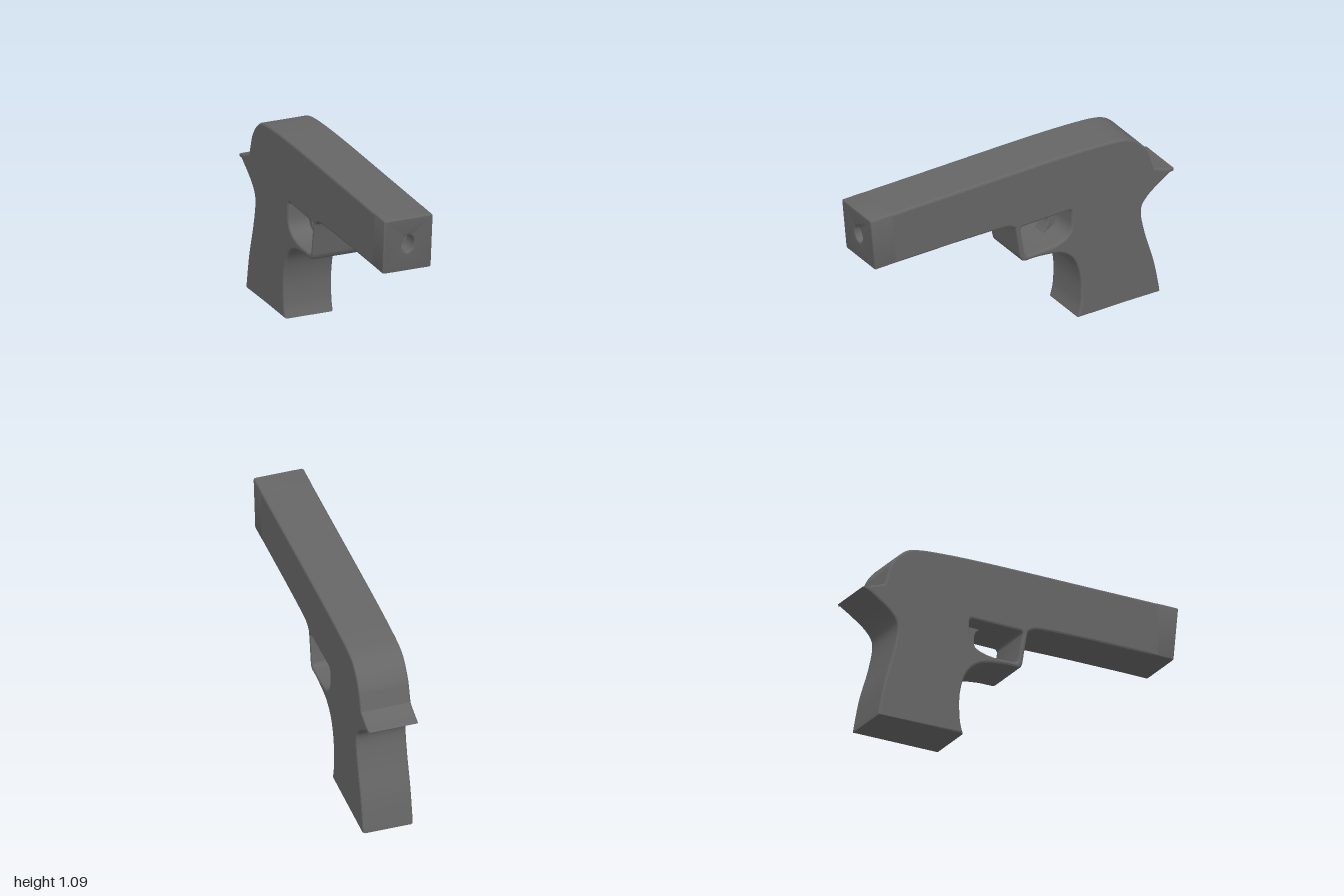
import * as THREE from 'three';
import { toCreasedNormals } from 'three/addons/utils/BufferGeometryUtils.js';

const WIDTH = 0.29;      // overall thickness along x
const TOP = 1.095, BOTTOM = 0.773; // barrel block

const vecs = (pts) => pts.map(([z, y]) => new THREE.Vector2(z, y));

// Extrude a side profile (z, y) across x, with softened edges
function extrudeSide(shape, width, bevel) {
  const g = new THREE.ExtrudeGeometry(shape, {
    depth: width - 2 * bevel, curveSegments: 6,
    bevelEnabled: true, bevelThickness: bevel, bevelSize: bevel,
    bevelOffset: -bevel, bevelSegments: 2,
  });
  g.translate(0, 0, -(width - 2 * bevel) / 2);
  g.rotateY(-Math.PI / 2);
  return g;
}

// Lean the muzzle: the top edge reaches further forward than the bottom
function slant(g) {
  const p = g.attributes.position;
  for (let i = 0; i < p.count; i++) {
    const lean = (p.getY(i) - BOTTOM) / (TOP - BOTTOM) * 0.03;
    p.setZ(i, p.getZ(i) + lean);
  }
  return g;
}

export function createModel() {
  const group = new THREE.Group();
  const material = new THREE.MeshStandardMaterial({ color: 0x666666 });
  const add = (name, geometry) => {
    const mesh = new THREE.Mesh(toCreasedNormals(geometry, 0.38), material);
    mesh.name = name;
    group.add(mesh);
  };

  // Frame: barrel, rear tang, grip and guard in one outline
  const frame = new THREE.Shape();
  frame.moveTo(0.88, 1.094);
  frame.lineTo(0.4, 1.09);
  frame.splineThru(vecs([[-0.18, 1.085], [-0.5, 1.074], [-0.68, 1.054], [-0.76, 1.01],
    [-0.82, 0.936], [-0.845, 0.87], [-0.865, 0.805]]));
  frame.splineThru(vecs([[-0.91, 0.787], [-1, 0.757]]));
  frame.splineThru(vecs([[-0.91, 0.703], [-0.82, 0.635], [-0.782, 0.56], [-0.808, 0.41],
    [-0.865, 0.215], [-0.898, 0.05], [-0.904, 0.005]]));
  frame.lineTo(-0.366, 0.014);
  frame.splineThru(vecs([[-0.385, 0.1], [-0.385, 0.25], [-0.345, 0.385], [-0.26, 0.463],
    [-0.125, 0.491], [-0.02, 0.495]]));
  frame.quadraticCurveTo(0.005, 0.497, 0.013, 0.53);
  frame.splineThru(vecs([[0.04, 0.695], [0.06, 0.735], [0.14, 0.757], [0.46, 0.768]]));
  frame.lineTo(0.88, 0.773);

  // Opening inside the trigger guard
  const opening = new THREE.Path();
  opening.moveTo(-0.01, 0.722);
  opening.quadraticCurveTo(0.012, 0.722, 0.01, 0.7);
  opening.lineTo(-0.014, 0.55);
  opening.quadraticCurveTo(-0.018, 0.525, -0.045, 0.524);
  opening.lineTo(-0.17, 0.523);
  opening.bezierCurveTo(-0.27, 0.53, -0.325, 0.56, -0.325, 0.63);
  opening.lineTo(-0.325, 0.7);
  opening.quadraticCurveTo(-0.325, 0.722, -0.305, 0.722);
  opening.closePath();
  frame.holes.push(opening);
  add('frame', extrudeSide(frame, WIDTH, 0.012));

  // Muzzle block: rounded section along z with an oval bore, floored by the frame
  const h = WIDTH / 2, r = 0.014;
  const section = new THREE.Shape();
  section.moveTo(-h + r, BOTTOM);
  section.lineTo(h - r, BOTTOM);
  section.quadraticCurveTo(h, BOTTOM, h, BOTTOM + r);
  section.lineTo(h, TOP - r);
  section.quadraticCurveTo(h, TOP, h - r, TOP);
  section.lineTo(-h + r, TOP);
  section.quadraticCurveTo(-h, TOP, -h, TOP - r);
  section.lineTo(-h, BOTTOM + r);
  section.quadraticCurveTo(-h, BOTTOM, -h + r, BOTTOM);
  const bore = new THREE.Path();
  bore.absellipse(0, 0.938, 0.038, 0.052, 0, Math.PI * 2, true);
  section.holes.push(bore);
  const muzzle = new THREE.ExtrudeGeometry(section, {
    depth: 0.13, curveSegments: 14, bevelEnabled: true, bevelThickness: 0.008,
    bevelSize: 0.008, bevelOffset: -0.008, bevelSegments: 2,
  });
  muzzle.translate(0, 0, 0.97 - 0.138);
  add('muzzle', slant(muzzle));

  // Trigger: narrow curved blade hanging in the opening
  const blade = new THREE.Shape();
  blade.moveTo(-0.2, 0.75);
  blade.lineTo(-0.2, 0.722);
  blade.splineThru(vecs([[-0.23, 0.69], [-0.235, 0.63], [-0.218, 0.588], [-0.2, 0.562]]));
  blade.splineThru(vecs([[-0.245, 0.575], [-0.278, 0.605], [-0.288, 0.655], [-0.305, 0.722]]));
  blade.lineTo(-0.305, 0.75);
  blade.closePath();
  add('trigger', extrudeSide(blade, 0.08, 0.006));

  return group;
}
